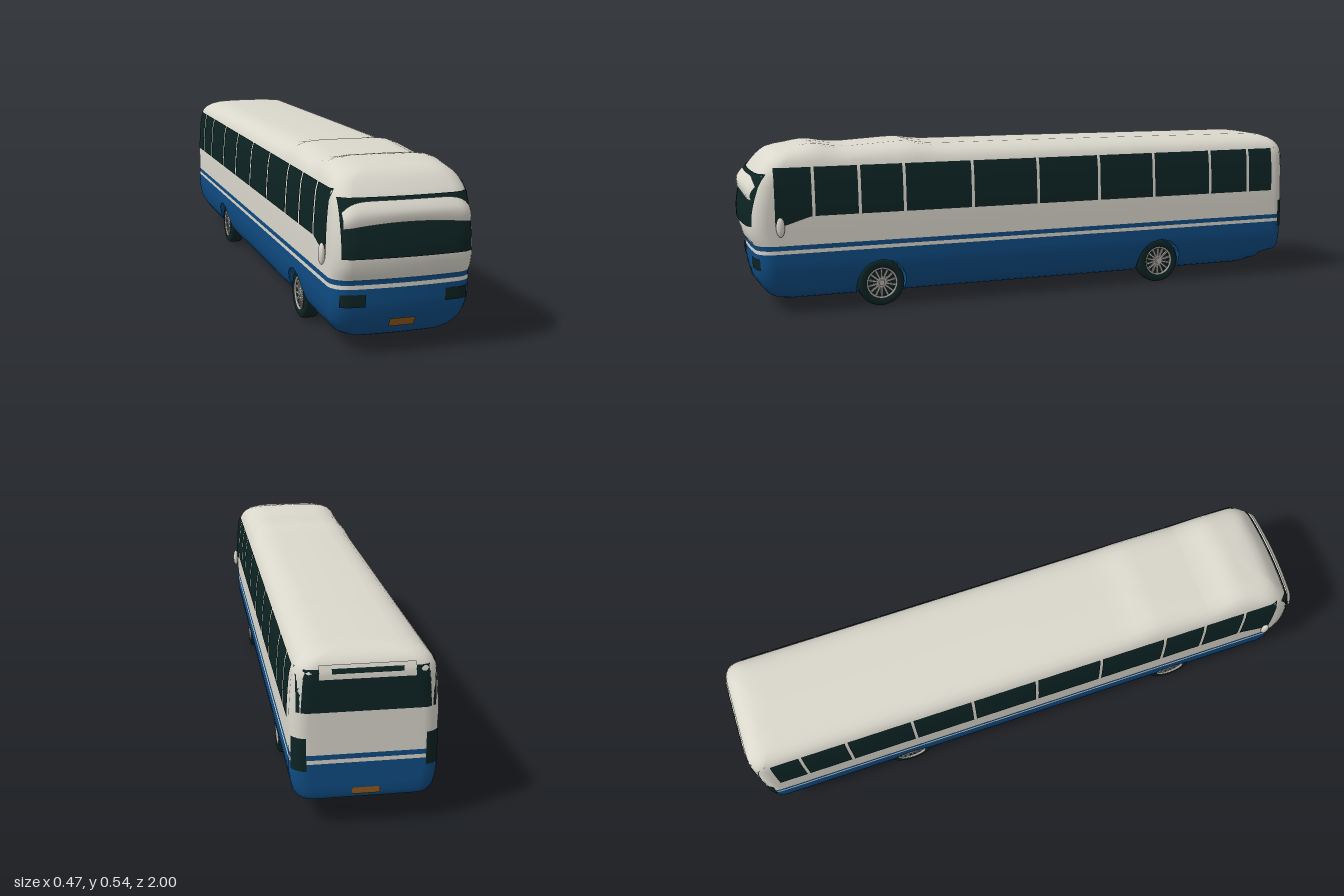
import * as THREE from 'three';

const paint = (name, color) => {
  const m = new THREE.MeshStandardMaterial({ color, side: THREE.DoubleSide });
  m.name = name;
  return m;
};

// Body levels from the floor up: [height, half width, front z, rear z]
const LEVELS = [
  [0.04, 0, 0.84, -0.94], [0.04, 0.115, 0.86, -0.95], [0.04, 0.14, 0.89, -0.965],
  [0.048, 0.16, 0.91, -0.975], [0.06, 0.178, 0.925, -0.985], [0.08, 0.193, 0.942, -0.992],
  [0.105, 0.203, 0.956, -0.997], [0.13, 0.209, 0.963, -0.998], [0.15, 0.212, 0.966, -0.998],
  [0.162, 0.213, 0.967, -0.998], [0.172, 0.213, 0.967, -0.998], [0.2, 0.213, 0.968, -0.998],
  [0.212, 0.213, 0.968, -0.998], [0.227, 0.213, 0.969, -0.998], [0.24, 0.213, 0.98, -0.998],
  [0.27, 0.213, 0.988, -0.998], [0.3, 0.213, 0.99, -0.998], [0.34, 0.212, 0.988, -0.998],
  [0.38, 0.21, 0.98, -0.998], [0.42, 0.207, 0.97, -0.998], [0.45, 0.204, 0.957, -0.998],
  [0.47, 0.2, 0.942, -0.997], [0.49, 0.192, 0.925, -0.99], [0.505, 0.18, 0.91, -0.98],
  [0.518, 0.162, 0.893, -0.965], [0.527, 0.135, 0.87, -0.945], [0.531, 0.1, 0.84, -0.92],
  [0.532, 0, 0.8, -0.88],
];
const AXLES = [-0.475, 0.555], WHEEL_R = 0.078, ARCH_R = 0.084, ARCH_TOP = 0.162, ARCH_X = 0.115;
const clamp = THREE.MathUtils.clamp, lerp = THREE.MathUtils.lerp;
const radius = (hw) => Math.min(0.05, hw);
const bow = (x) => 0.015 * (x / 0.21) ** 2;
const cornerDrop = (d, r) => (d > 0 ? r - Math.sqrt(Math.max(0, r * r - d * d)) : 0);
const archHalf = (y) => (y > ARCH_TOP + 1e-6 ? 0.08 : Math.sqrt(Math.max(0, ARCH_R ** 2 - (y - WHEEL_R) ** 2)));

function levelAt(y) {
  let i = 2;
  while (i < LEVELS.length - 2 && LEVELS[i + 1][0] < y) i++;
  const a = LEVELS[i], b = LEVELS[i + 1], t = (y - a[0]) / (b[0] - a[0]);
  return a.map((v, k) => lerp(v, b[k], t));
}
// Points on the body skin
function sideX(y, z) {
  const [, hw, zf, zr] = levelAt(y), r = radius(hw);
  return hw - cornerDrop(z - (zf - r - bow(hw)), r) - cornerDrop(zr + r - z, r);
}
function frontZ(y, x) {
  const [, hw, zf] = levelAt(y), r = radius(hw);
  return zf - bow(x) - cornerDrop(Math.abs(x) - (hw - r), r);
}
function rearZ(y, x) {
  const [, hw, , zr] = levelAt(y), r = radius(hw);
  return zr + cornerDrop(Math.abs(x) - (hw - r), r);
}
// Roof humps and the raised tail underside
function shapeY(y, z) {
  const hump = 0.012 * Math.exp(-(((z - 0.76) / 0.06) ** 2)) + 0.012 * Math.exp(-(((z - 0.45) / 0.06) ** 2));
  const roof = (hump + Math.min(0, z) * 0.005) * clamp((y - 0.47) / 0.05, 0, 1);
  return Math.max(y + roof, lerp(0.04, 0.09, clamp((-0.86 - z) / 0.07, 0, 1)));
}

// Half outline of one level, from rear centre round the side to front centre
function halfOutline([y, hw, zf, zr]) {
  const r = radius(hw), pts = [], arch = [], a = archHalf(y), end = zf - r - bow(hw);
  for (let i = 0; i < 5; i++) pts.push([(hw - r) * i / 5, zr]);
  for (let i = 0; i < 6; i++) {
    const t = i / 6 * Math.PI / 2;
    pts.push([hw - r + r * Math.sin(t), zr + r - r * Math.cos(t)]);
  }
  const run = (z0, z1, n) => { for (let i = 0; i <= n; i++) pts.push([hw, lerp(z0, z1, i / n)]); };
  run(zr + r, AXLES[0] - a, 9);
  arch.push(pts.length - 1);
  run(AXLES[0] + a, AXLES[1] - a, 20);
  arch.push(pts.length - 1);
  run(AXLES[1] + a, end, 12);
  for (let i = 1; i <= 6; i++) {
    const t = i / 6 * Math.PI / 2, x = hw - r + r * Math.cos(t);
    pts.push([x, zf - bow(x) - r + r * Math.sin(t)]);
  }
  for (let i = 4; i >= 0; i--) { const x = (hw - r) * i / 5; pts.push([x, zf - bow(x)]); }
  return { pts, arch };
}

function bodyGeometry() {
  const pos = [], idx = [], g = new THREE.BufferGeometry();
  let n = 0, arch;
  for (const level of LEVELS) {
    const half = halfOutline(level);
    arch = half.arch;
    const loop = [...half.pts, ...half.pts.slice(1, -1).reverse().map(([x, z]) => [-x, z])];
    n = loop.length;
    for (const [x, z] of loop) pos.push(x, shapeY(level[0], z), z);
  }
  const open = [...arch, ...arch.map((j) => n - 1 - j)];
  for (let i = 0; i < LEVELS.length - 1; i++) {
    const start = idx.length, y = LEVELS[i][0];
    for (let j = 0; j < n; j++) {
      if (i > 0 && y < ARCH_TOP - 1e-6 && open.includes(j)) continue;
      const k = (j + 1) % n, a = i * n + j, b = a + n, c = (i + 1) * n + k, d = i * n + k;
      idx.push(a, b, c, a, c, d);
    }
    const blue = y < 0.199 || (y > 0.211 && y < 0.226);
    g.addGroup(start, idx.length - start, blue ? 0 : 1);
  }
  g.setAttribute('position', new THREE.Float32BufferAttribute(pos, 3));
  g.setIndex(idx);
  g.computeVertexNormals();
  return g;
}

// Liner and inner wall of one wheel arch on the +x side
function archGeometry(axle) {
  const pos = [], g = new THREE.BufferGeometry();
  const quad = (a, b, c, d) => pos.push(...a, ...b, ...c, ...a, ...c, ...d);
  for (let i = 1; LEVELS[i][0] < ARCH_TOP - 1e-6; i++) {
    const [y0, w0] = LEVELS[i], [y1, w1] = LEVELS[i + 1], a0 = archHalf(y0), a1 = archHalf(y1);
    quad([w0, y0, axle - a0], [w1, y1, axle - a1], [ARCH_X, y1, axle - a1], [ARCH_X, y0, axle - a0]);
    quad([ARCH_X, y0, axle + a0], [ARCH_X, y1, axle + a1], [w1, y1, axle + a1], [w0, y0, axle + a0]);
    quad([ARCH_X, y0, axle - a0], [ARCH_X, y1, axle - a1], [ARCH_X, y1, axle + a1], [ARCH_X, y0, axle + a0]);
  }
  g.setAttribute('position', new THREE.Float32BufferAttribute(pos, 3));
  g.computeVertexNormals();
  return g;
}

// Thin skin patch from a rule (u, v) -> [x, y, z]
function patch(rule, nu = 6, nv = 6) {
  const g = new THREE.PlaneGeometry(1, 1, nu, nv), p = g.attributes.position;
  for (let i = 0; i < p.count; i++) p.setXYZ(i, ...rule(p.getX(i) + 0.5, p.getY(i) + 0.5));
  g.computeVertexNormals();
  return g;
}
const frontPatch = (x0, x1, y0, y1, off) => patch((u, v) => {
  const x = lerp(x0, x1, u), y = lerp(y0, y1, v);
  return [x, y, frontZ(y, x) + off];
}, 16, 8);
const rearPatch = (x0, x1, y0, y1, off) => patch((u, v) => {
  const x = lerp(x1, x0, u), y = lerp(y0, y1, v);
  return [x, y, rearZ(y, x) - off];
}, 16, 6);

function makeWheel(dark, silver) {
  const wheel = new THREE.Group();
  const add = (name, geo, mat) => {
    const m = new THREE.Mesh(geo, mat);
    m.name = name;
    wheel.add(m);
    return m;
  };
  // Axle runs along x, outer face towards +x
  const profile = [[0.052, -0.025], [0.07, -0.025], [0.076, -0.021], [0.078, -0.014], [0.078, 0.014],
    [0.076, 0.021], [0.07, 0.025], [0.052, 0.025], [0.05, 0.012]].map(([r, h]) => new THREE.Vector2(r, h));
  add('tyre', new THREE.LatheGeometry(profile, 40).rotateZ(-Math.PI / 2), dark);
  add('wheelBack', new THREE.CylinderGeometry(0.051, 0.051, 0.01, 32).rotateZ(Math.PI / 2), dark);
  add('innerHub', new THREE.CylinderGeometry(0.046, 0.046, 0.008, 32).rotateZ(Math.PI / 2), silver).position.x = -0.014;
  add('rim', new THREE.TorusGeometry(0.05, 0.004, 8, 40).rotateY(Math.PI / 2), silver).position.x = 0.022;
  add('hubCap', new THREE.CylinderGeometry(0.01, 0.014, 0.02, 20).rotateZ(-Math.PI / 2), silver).position.x = 0.014;
  for (let i = 0; i < 14; i++) {
    const spoke = new THREE.BoxGeometry(0.007, 0.042, 0.0065).translate(0.016, 0.028, 0);
    add('spoke', spoke.rotateX(i / 14 * Math.PI * 2), silver);
  }
  return wheel;
}

export function createModel() {
  const bus = new THREE.Group();
  bus.name = 'bus';
  const blue = paint('blue paint', 0x0f4c83), cream = paint('cream paint', 0xdad7cc);
  const dark = paint('dark glass and rubber', 0x0d2323), silver = paint('silver', 0xb4b0aa);
  const orange = paint('orange plate', 0x965b1c);
  const add = (name, geo, mat) => {
    const m = new THREE.Mesh(geo, mat);
    m.name = name;
    bus.add(m);
    return m;
  };
  add('body', bodyGeometry(), [blue, cream]);

  // Front: windscreen, curved visor, headlights, plate
  add('windscreen', frontPatch(-0.194, 0.194, 0.292, 0.458, 0.005), dark);
  add('visor', patch((u, v) => {
    const x = lerp(-0.19, 0.19, u), s = x / 0.19;
    const y = lerp(0.39 - 0.015 * s * s, 0.449 - 0.03 * s ** 8, v);
    return [x, y, frontZ(y, x) + 0.009 + 0.009 * Math.sin(Math.PI * v)];
  }, 28, 8), cream);
  for (const s of [-1, 1]) add('headlight', frontPatch(s * 0.156 - 0.036, s * 0.156 + 0.036, 0.148, 0.185, 0.003), dark);
  add('frontPlate', frontPatch(-0.045, 0.032, 0.08, 0.107, 0.004), orange);

  // Rear: window with hood and vent, tail lights, plate
  add('rearWindow', rearPatch(-0.197, 0.197, 0.355, 0.48, 0.002), dark);
  add('rearHood', rearPatch(-0.135, 0.135, 0.452, 0.492, 0.004), cream);
  add('rearVent', rearPatch(-0.1, 0.1, 0.468, 0.482, 0.006), dark);
  for (const s of [-1, 1]) add('tailLight', rearPatch(s * 0.19 - 0.02, s * 0.19 + 0.02, 0.18, 0.28, 0.002), dark);
  add('rearPlate', rearPatch(-0.04, 0.04, 0.102, 0.122, 0.003), orange);

  // Sides: windows, mirrors, wheels
  const edges = [0.905, 0.777, 0.627, 0.477, 0.241, 0.005, -0.225, -0.44, -0.67, -0.83, -0.937];
  for (const s of [-1, 1]) {
    for (let i = 0; i < edges.length - 1; i++) {
      const z0 = edges[i] - 0.005, z1 = edges[i + 1] + 0.005;
      add('sideWindow', patch((u, v) => {
        const z = s > 0 ? lerp(z0, z1, u) : lerp(z1, z0, u);
        const sill = 0.32 - 0.028 * clamp((z - 0.785) / 0.09, 0, 1);
        const y = lerp(sill, 0.477, v);
        return [s * (sideX(y, z) + 0.004), y, z];
      }), dark);
    }
    const mirror = add('mirror', new THREE.SphereGeometry(1, 20, 14), cream);
    mirror.scale.set(0.01, 0.032, 0.014);
    mirror.position.set(s * 0.224, 0.29, 0.885);
    const arm = add('mirrorArm', new THREE.BoxGeometry(0.03, 0.008, 0.008), cream);
    arm.position.set(s * 0.21, 0.29, 0.885);

    for (const z of AXLES) {
      const arch = add('wheelArch', archGeometry(z), blue);
      arch.scale.x = s;
      const wheel = makeWheel(dark, silver);
      wheel.name = z > 0 ? 'frontWheel' : 'rearWheel';
      wheel.position.set(s * 0.17, WHEEL_R, z);
      wheel.scale.x = s;
      bus.add(wheel);
    }
  }
  return bus;
}
